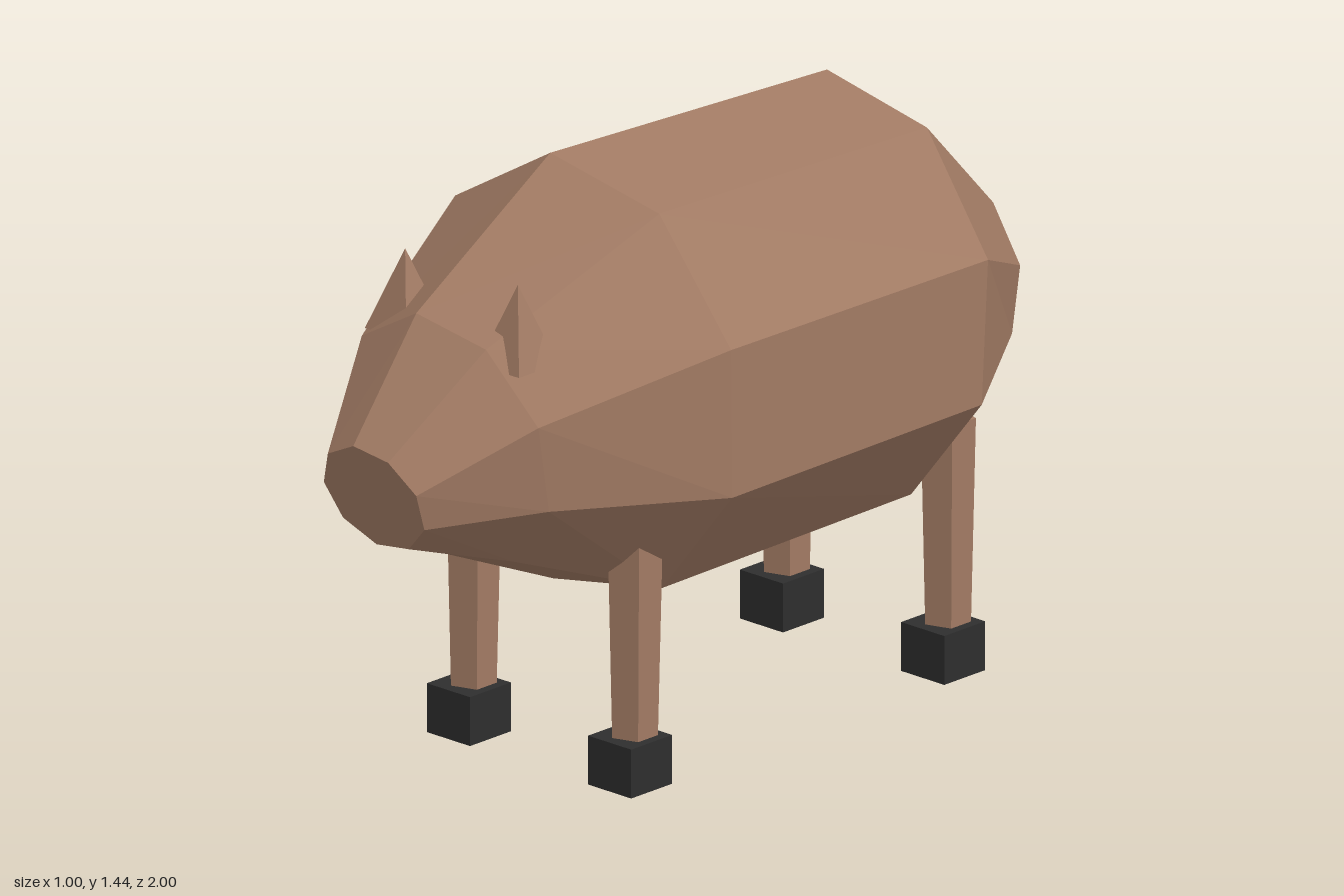
import * as THREE from 'three';

const CX = 0.013; // the body axis sits slightly off centre

// Split faces so every facet is shaded flat
function faceted(geometry) {
  const g = geometry.index ? geometry.toNonIndexed() : geometry;
  g.computeVertexNormals();
  return g;
}

// Closed loft through tilted elliptical rings listed from front to back
function loft(rings, sides) {
  const pos = [], idx = [];
  for (const { y, z, rx, ry, tilt } of rings) {
    for (let i = 0; i < sides; i++) {
      const a = Math.PI + (i / sides) * Math.PI * 2;
      const dy = Math.sin(a) * ry;
      pos.push(CX + Math.cos(a) * rx, y + dy, z + tilt * dy);
    }
  }
  for (let r = 0; r < rings.length - 1; r++) {
    for (let i = 0; i < sides; i++) {
      const j = (i + 1) % sides;
      const f = r * sides, b = f + sides;
      idx.push(f + i, b + i, f + j, f + j, b + i, b + j);
    }
  }
  // flat end caps
  const last = (rings.length - 1) * sides;
  for (let i = 1; i < sides - 1; i++) {
    idx.push(0, i, i + 1, last, last + i + 1, last + i);
  }
  const g = new THREE.BufferGeometry();
  g.setAttribute('position', new THREE.Float32BufferAttribute(pos, 3));
  g.setIndex(idx);
  return faceted(g);
}

export function createModel() {
  const group = new THREE.Group();
  const hide = new THREE.MeshStandardMaterial({ color: 0xa27b64 });
  hide.name = 'brown hide';
  const hoofDark = new THREE.MeshStandardMaterial({ color: 0x2e2e2e });
  hoofDark.name = 'dark hoof';

  const add = (name, geometry, material, x, y, z) => {
    const mesh = new THREE.Mesh(geometry, material);
    mesh.name = name;
    mesh.position.set(x, y, z);
    group.add(mesh);
  };

  // Body, from snout to rump
  add('body', loft([
    { y: 0.795, z: 0.96, rx: 0.158, ry: 0.133, tilt: 0.3 },
    { y: 0.872, z: 0.707, rx: 0.32, ry: 0.314, tilt: 0.165 },
    { y: 0.914, z: 0.268, rx: 0.513, ry: 0.532, tilt: 0.01 },
    { y: 0.895, z: -0.618, rx: 0.476, ry: 0.512, tilt: -0.06 },
    { y: 0.83, z: -0.957, rx: 0.24, ry: 0.234, tilt: -0.17 },
  ], 9), hide, 0, 0, 0);

  const ear = faceted(new THREE.ConeGeometry(0.093, 0.195, 4, 1, false, Math.PI / 4));
  const leg = faceted(new THREE.CylinderGeometry(0.068, 0.055, 0.57, 5, 1, false, -Math.PI / 2));
  const hoof = new THREE.BoxGeometry(0.137, 0.12, 0.137);

  for (const [side, s] of [['left', 1], ['right', -1]]) {
    add(`${side}Ear`, ear, hide, CX + s * 0.179, 1.1875, 0.665);
    for (const [end, z] of [['Front', 0.37], ['Back', -0.68]]) {
      const x = CX + s * 0.256;
      add(`${side}${end}Leg`, leg, hide, x, 0.335, z - 0.012);
      add(`${side}${end}Hoof`, hoof, hoofDark, x, 0.06, z);
    }
  }
  return group;
}
